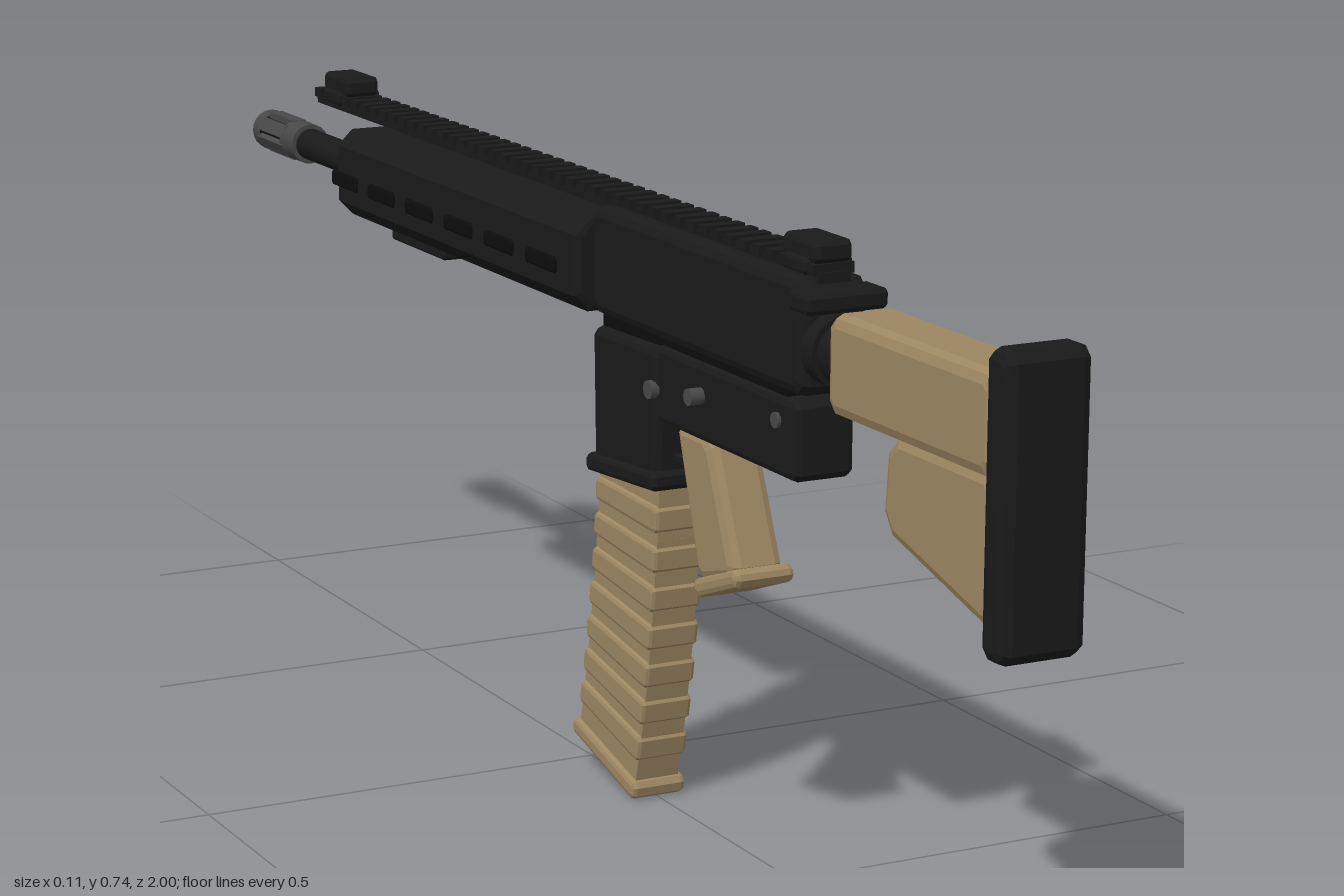
import * as THREE from 'three';

const mat = (color) => new THREE.MeshStandardMaterial({ color, roughness: 0.8 });

export function createModel() {
  const root = new THREE.Group();
  const black = mat(0x1a1a1a), dark = mat(0x0c0c0c), tan = mat(0x9c8662), grey = mat(0x484848);

  const add = (name, geo, material, parent = root) => {
    const mesh = new THREE.Mesh(geo, material);
    mesh.name = name;
    parent.add(mesh);
    return mesh;
  };
  // Polygon with every corner cut by c
  const cutShape = (pts, c) => {
    const v = pts.map(([a, b]) => new THREE.Vector2(a, b)), out = [];
    v.forEach((p, i) => {
      const prev = v[(i + v.length - 1) % v.length], next = v[(i + 1) % v.length];
      for (const q of [prev, next]) out.push(p.clone().add(q.clone().sub(p).setLength(c)));
    });
    return new THREE.Shape(out);
  };
  const extrude = (shape, depth, b) => {
    const g = new THREE.ExtrudeGeometry(shape, {
      depth: depth - 2 * b, bevelEnabled: b > 0, bevelThickness: b, bevelSize: b, bevelOffset: -b, bevelSegments: 2,
    });
    g.translate(0, 0, b - depth / 2);
    return g;
  };
  // Side profile of [z, y] points, extruded across x with chamfered edges
  const slab = (pts, width, b = 0.01, c = b) =>
    extrude(cutShape(pts.map(([z, y]) => [-z, y]), c), width, b).rotateY(Math.PI / 2);
  const block = (z0, z1, y0, y1, width, b = 0.008) =>
    slab([[z1, y0], [z0, y0], [z0, y1], [z1, y1]], width, b);
  const box = (x, y, z, w, h, d) => new THREE.BoxGeometry(w, h, d).translate(x, y, z);
  const tubeZ = (r, z0, z1, y, n = 20, r2 = r) =>
    new THREE.CylinderGeometry(r, r2, z1 - z0, n).rotateX(Math.PI / 2).translate(0, y, (z0 + z1) / 2);

  // Shoulder stock
  add('buttPad', block(0.955, 1, 0.385, 0.705, 0.1, 0.012), black);
  add('stockBody', block(0.63, 0.96, 0.565, 0.675, 0.084, 0.014), tan);
  add('stockLower', slab([[0.96, 0.405], [0.735, 0.465], [0.745, 0.57], [0.96, 0.57]], 0.07, 0.012, 0.02), tan);
  add('stockSlot', block(0.785, 0.88, 0.59, 0.61, 0.02, 0.004).translate(0.041, 0, 0), dark);
  add('bufferTube', tubeZ(0.035, 0.56, 0.64, 0.622), black);
  add('bufferRing', tubeZ(0.041, 0.575, 0.6, 0.622), black);
  add('chargingHandle', block(0.56, 0.605, 0.665, 0.688, 0.1, 0.005), black);

  // Receiver
  add('upperReceiver', block(0.08, 0.578, 0.57, 0.698, 0.082, 0.012), black);
  add('receiverSeam', box(0, 0.562, 0.31, 0.06, 0.03, 0.44), dark);
  add('lowerReceiver', block(0.23, 0.56, 0.472, 0.562, 0.074), black);
  add('magazineWell', slab([[0.24, 0.4], [0.085, 0.385], [0.08, 0.555], [0.25, 0.56]], 0.082), black);
  add('wellFlare', slab([[0.248, 0.392], [0.075, 0.38], [0.075, 0.402], [0.248, 0.415]], 0.094, 0.006), black);
  add('wellWindow', box(0, 0.43, 0.083, 0.046, 0.045, 0.01), tan);
  add('portRecess', box(0.04, 0.628, 0.287, 0.005, 0.056, 0.178), dark);
  add('ejectionPort', box(0.041, 0.628, 0.287, 0.006, 0.046, 0.164), grey);
  for (const [z, y, len, r] of [[0.345, 0.525, 0.108, 0.01], [0.235, 0.51, 0.094, 0.011], [0.52, 0.535, 0.082, 0.009]])
    add('receiverPin', new THREE.CylinderGeometry(r, r, len, 12).rotateZ(Math.PI / 2).translate(0, y, z), grey);
  add('triggerGuard', slab([[0.315, 0.423], [0.23, 0.423], [0.23, 0.433], [0.315, 0.433]], 0.03, 0.002), black);
  const trigger = new THREE.CatmullRomCurve3(
    [[0.26, 0.48], [0.268, 0.46], [0.258, 0.438]].map(([z, y]) => new THREE.Vector3(0, y, z)));
  add('trigger', new THREE.TubeGeometry(trigger, 8, 0.006, 6), black);

  // Pistol grip
  add('grip', slab([[0.42, 0.33], [0.33, 0.305], [0.272, 0.48], [0.355, 0.48]], 0.066, 0.012), tan);
  add('gripBase', slab([[0.435, 0.325], [0.335, 0.288], [0.325, 0.308], [0.428, 0.345]], 0.076, 0.007), tan);

  // Curved magazine: t runs from the well down to the floor plate
  const back = new THREE.QuadraticBezierCurve(
    new THREE.Vector2(0.23, 0.41), new THREE.Vector2(0.22, 0.2), new THREE.Vector2(0.167, 0));
  const front = new THREE.QuadraticBezierCurve(
    new THREE.Vector2(0.08, 0.41), new THREE.Vector2(0.068, 0.22), new THREE.Vector2(0.022, 0.038));
  const magSlice = (t0, t1, grow, width, b) => {
    const edge = (t) => {
      const p = back.getPoint(t), q = front.getPoint(t), n = p.clone().sub(q).setLength(grow);
      return [p.add(n).toArray(), q.sub(n).toArray()];
    };
    const [a0, b0] = edge(t0), [a1, b1] = edge(t1);
    return slab([a1, b1, b0, a0], width, b);
  };
  const magazine = new THREE.Group();
  magazine.name = 'magazine';
  root.add(magazine);
  for (let i = 0; i < 5; i++) add('magazineBody', magSlice(i / 5, (i + 1) / 5, 0, 0.056, 0.0001), tan, magazine);
  for (let i = 0; i < 7; i++) {
    const t = 0.1 + i * 0.117;
    add('magazineRib', magSlice(t, t + 0.078, 0.003, 0.066, 0.005), tan, magazine);
  }
  add('magazineFloor', magSlice(0.945, 1, 0.009, 0.07, 0.006), tan, magazine);

  // Handguard, chamfered lengthwise, with vent slots on both sides
  const guard = cutShape([[-0.052, 0.565], [0.052, 0.565], [0.052, 0.678], [-0.052, 0.678]], 0.02);
  add('handguard', extrude(guard, 0.705, 0.008).translate(0, 0, -0.292), black);
  for (const side of [-1, 1])
    for (let i = 0; i < 6; i++) {
      const z = -0.028 - i * 0.117;
      add('ventSlot', block(z - 0.04, z + 0.04, 0.604, 0.624, 0.01, 0.004).translate(side * 0.0515, 0, 0), dark);
    }
  add('lowerRail', block(-0.53, -0.368, 0.549, 0.57, 0.05, 0.004), black);

  // Top rail with teeth
  add('railBase', box(0, 0.698, -0.102, 0.04, 0.012, 1.355), black);
  for (let i = 0; i < 45; i++)
    add('railTooth', box(0, 0.707, 0.565 - i * 0.0303, 0.05, 0.012, 0.017), black);

  // Folded sights
  for (const [name, z, d] of [['rearSight', 0.537, 0.075], ['frontSight', -0.712, 0.08]]) {
    add(name, block(z - d / 2, z + d / 2, 0.712, 0.738, 0.046, 0.006), black);
    add(name + 'Clamp', block(z - d / 3, z + d / 3, 0.7, 0.718, 0.06, 0.004), black);
  }

  // Barrel and slotted muzzle device
  add('barrel', tubeZ(0.021, -0.87, -0.6, 0.622), black);
  add('muzzleCollar', tubeZ(0.027, -0.9, -0.855, 0.622), grey);
  add('muzzleCore', tubeZ(0.021, -0.985, -0.89, 0.622), dark);
  for (let i = 0; i < 6; i++) {
    const bar = add('muzzleProng', box(0, 0.0215, -0.935, 0.019, 0.011, 0.085), grey);
    bar.position.y = 0.622;
    bar.rotation.z = (i * Math.PI) / 3;
  }
  const tip = new THREE.LatheGeometry(
    [[0.013, -0.01], [0.013, 0.028], [0.024, 0.028], [0.027, 0.024], [0.027, 0]].reverse()
      .map(([r, h]) => new THREE.Vector2(r, h)), 20);
  const tipMat = grey.clone();
  tipMat.side = THREE.DoubleSide;
  add('muzzleTip', tip.rotateX(-Math.PI / 2).translate(0, 0.622, -0.972), tipMat);

  return root;
}
